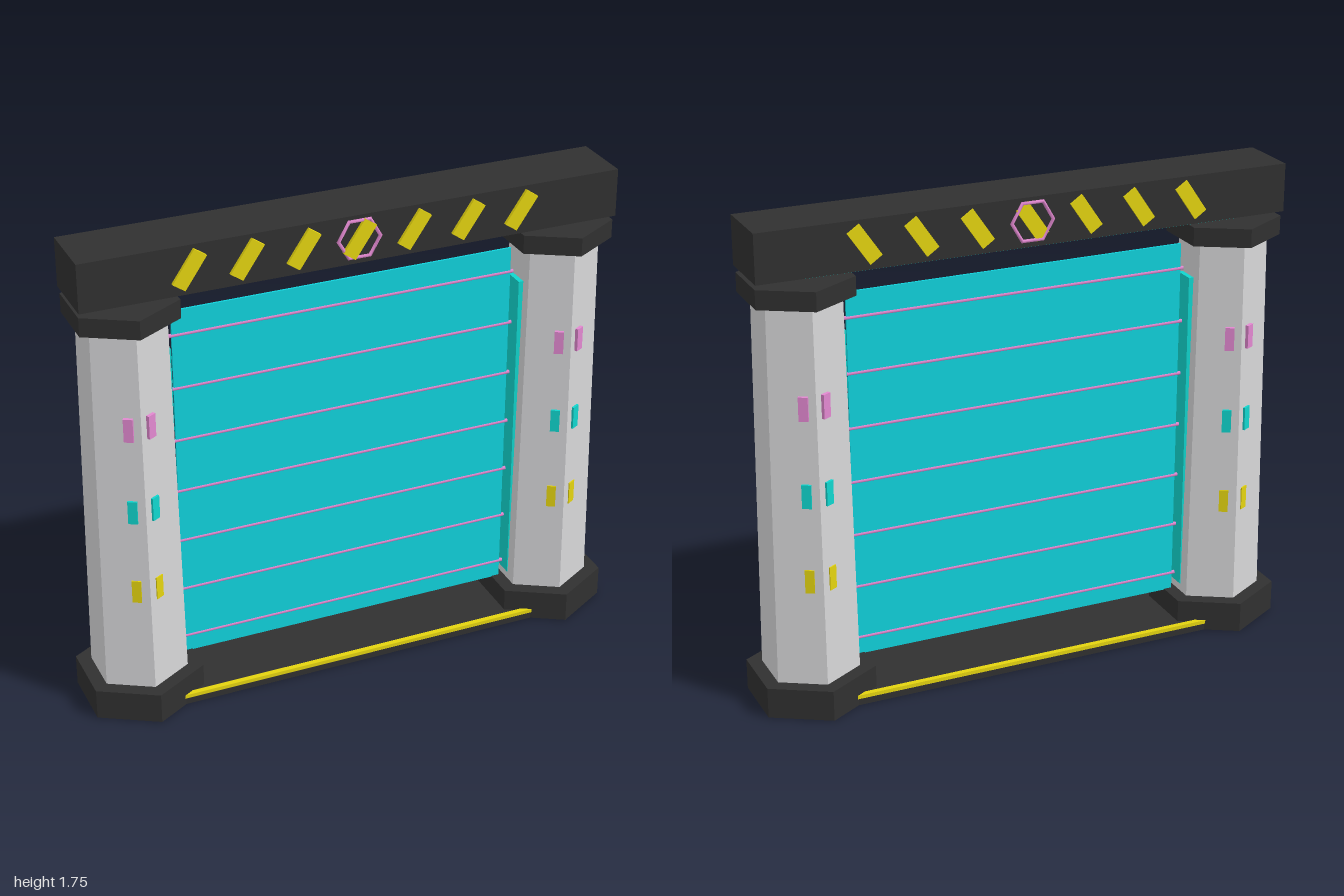
import * as THREE from 'three';

function mat(name, color) {
  const m = new THREE.MeshStandardMaterial({ color });
  m.name = name;
  return m;
}

export function createModel() {
  const dark = mat('charcoal', 0x303030);
  const grey = mat('light grey', 0xd6d6d8);
  const cyan = mat('barrier cyan', 0x10d2dc);
  const teal = mat('trim teal', 0x10d6ce);
  const yellow = mat('hazard yellow', 0xe4d410);
  const pink = mat('pink', 0xe288d0);

  const gate = new THREE.Group();
  gate.name = 'gate';

  const add = (parent, name, geo, material, x = 0, y = 0, z = 0) => {
    const mesh = new THREE.Mesh(geo, material);
    mesh.name = name;
    mesh.position.set(x, y, z);
    parent.add(mesh);
    return mesh;
  };
  const box = (w, h, d) => new THREE.BoxGeometry(w, h, d);
  // Hexagonal prism with sharp faces, corner towards the front
  const hex = (rTop, rBottom, h) => {
    const g = new THREE.CylinderGeometry(rTop, rBottom, h, 6).toNonIndexed();
    g.computeVertexNormals();
    return g;
  };

  // Pillars with foot, cap, lamps and inner light strip
  const lamps = [[1.135, pink], [0.82, teal], [0.505, yellow]];
  for (const side of [-1, 1]) {
    const pillar = new THREE.Group();
    pillar.name = side > 0 ? 'leftPillar' : 'rightPillar';
    pillar.position.x = side * 0.8;
    gate.add(pillar);

    add(pillar, 'foot', hex(0.231, 0.231, 0.113), dark, 0, 0.0565);
    add(pillar, 'shaft', hex(0.155, 0.176, 1.48), grey, 0, 0.76);
    add(pillar, 'cap', hex(0.2, 0.2, 0.068), dark, 0, 1.519);
    add(pillar, 'innerStrip', box(0.018, 1.205, 0.08), teal, -side * 0.145, 0.745);

    // Pin between cap and beam
    const pin = add(pillar, 'pin', new THREE.ConeGeometry(0.035, 0.022, 6), pink, 0, 1.564);
    pin.rotation.x = Math.PI;

    for (const [y, material] of lamps)
      for (const sx of [-1, 1])
        for (const sz of [-1, 1]) {
          const lamp = add(pillar, 'lamp', box(0.033, 0.086, 0.014), material, sx * 0.039, y, sz * 0.143);
          lamp.rotation.y = sx * sz * Math.PI / 6;
        }
  }

  // Top beam with light strip underneath
  add(gate, 'beam', box(1.95, 0.174, 0.23), dark, 0, 1.66);
  add(gate, 'beamLight', box(1.6, 0.012, 0.17), teal, 0, 1.568);

  // Slanted warning stripes and hexagonal rings on both beam faces
  for (const sz of [-1, 1]) {
    for (let i = -3; i <= 3; i++) {
      const stripe = add(gate, 'warningStripe', box(0.052, 0.138, 0.02), yellow,
        i * 0.2, 1.663, sz > 0 ? 0.117 : -0.112);
      stripe.rotation.z = -0.6;
    }
    add(gate, 'hexRing', new THREE.TorusGeometry(0.076, 0.007, 6, 6), pink, 0, 1.663, sz * 0.119);
  }

  // Energy barrier with horizontal rods
  add(gate, 'barrierPanel', box(1.26, 1.357, 0.008), cyan, 0, 0.7885);
  for (let i = 0; i < 7; i++) {
    const rod = add(gate, 'barrierRod', new THREE.CylinderGeometry(0.007, 0.007, 1.284, 6), pink, 0, 0.175 + i * 0.2);
    rod.rotation.z = Math.PI / 2;
  }

  // Floor sill with yellow edge lines
  add(gate, 'sill', box(1.5, 0.03, 0.33), dark, 0, 0.015);
  for (const sz of [-1, 1])
    add(gate, 'sillLine', box(1.4, 0.014, 0.02), yellow, 0, 0.032, sz * 0.157);

  return gate;
}
